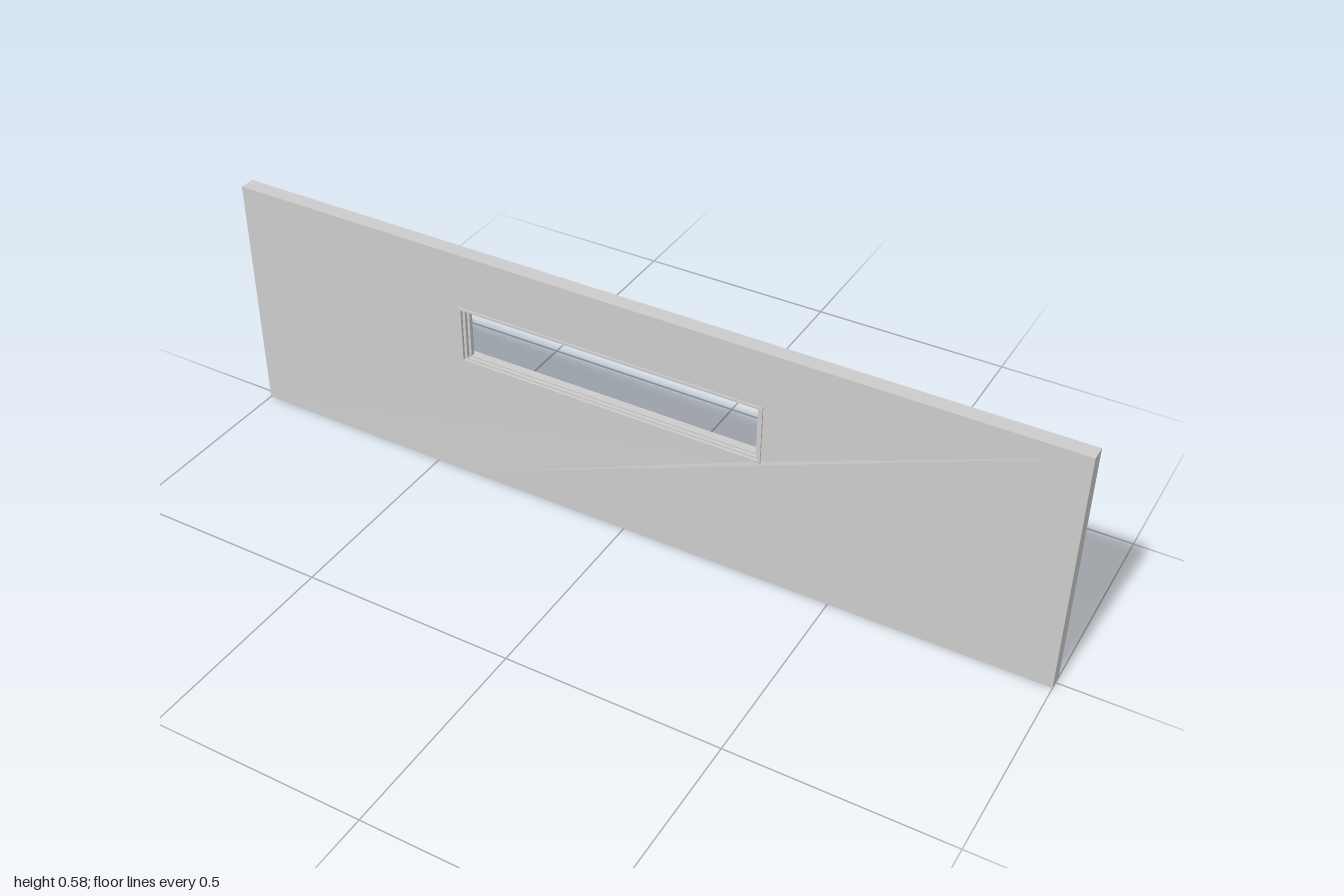
import * as THREE from 'three';

const material = new THREE.MeshStandardMaterial({ color: 0xcccccc, flatShading: true });

// Outline of a rectangle, optionally with an extra corner on the bottom edge
function corners(x0, x1, y0, y1, bottomX) {
  const p = [[x0, y0], [x1, y0], [x1, y1], [x0, y1]];
  if (bottomX !== undefined) p.splice(1, 0, [bottomX, y0]);
  return p.map(([x, y]) => new THREE.Vector2(x, y));
}

// Rectangular plate with a rectangular hole, between two depths
function ring(outer, inner, zBack, zFront) {
  const shape = new THREE.Shape(outer);
  shape.holes.push(new THREE.Path(inner));
  const geometry = new THREE.ExtrudeGeometry(shape, { depth: zFront - zBack, bevelEnabled: false });
  return geometry.translate(0, 0, zBack);
}

function addMesh(group, geometry, name) {
  const mesh = new THREE.Mesh(geometry, material);
  mesh.name = name;
  group.add(mesh);
}

export function createModel() {
  const model = new THREE.Group();
  model.name = 'wallWithWindow';
  const half = 0.018;
  const hole = { x0: -0.413, x1: 0.322, y0: 0.314, y1: 0.448 };
  const opening = (dx, dy) => corners(hole.x0 + dx, hole.x1 - dx, hole.y0 + dy, hole.y1 - dy);

  // Wall slab, its front pushed out very slightly at the foot
  const wall = ring(corners(-1, 1, 0, 0.585, -0.41), opening(0, 0), -half, half);
  const pos = wall.attributes.position;
  for (let i = 0; i < pos.count; i++) {
    if (pos.getY(i) < 0.001 && Math.abs(pos.getX(i) + 0.41) < 0.001 && pos.getZ(i) > 0) {
      pos.setZ(i, 0.021);
    }
  }
  wall.computeVertexNormals();
  addMesh(model, wall, 'wall');

  // Stepped window frame lining the opening
  const frame = new THREE.Group();
  frame.name = 'windowFrame';
  addMesh(frame, ring(opening(0, 0), opening(0.008, 0.004), -0.013, 0.013), 'frameLining');
  addMesh(frame, ring(opening(0, 0), opening(0.014, 0.007), -0.005, 0.005), 'frameStop');

  // Narrow trim standing just proud of both faces
  addMesh(frame, ring(opening(-0.004, -0.004), opening(0.003, 0.002), 0.015, 0.0215), 'frontTrim');
  addMesh(frame, ring(opening(-0.002, -0.002), opening(0.003, 0.002), -0.0205, -0.015), 'backTrim');
  model.add(frame);

  return model;
}
